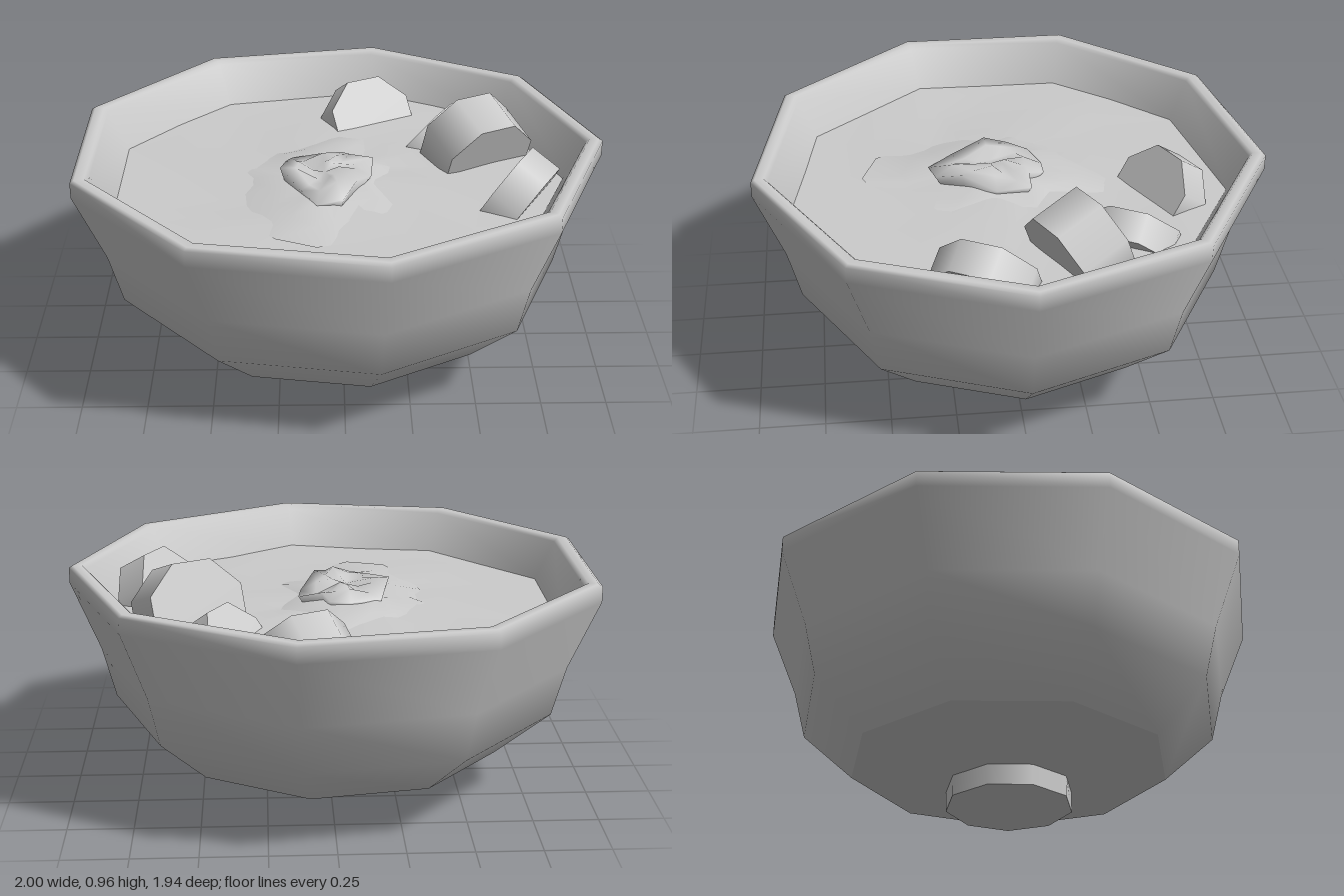
import * as THREE from 'three';

const material = new THREE.MeshStandardMaterial({ color: 0xcccccc });
const thin = new THREE.MeshStandardMaterial({ color: 0xcccccc, side: THREE.DoubleSide });
const SIDES = 9;

// small seeded noise in -1..1
function makeNoise(seed) {
  let s = seed;
  return () => {
    s = (s * 16807) % 2147483647;
    return (s / 2147483647) * 2 - 1;
  };
}

function add(group, name, geometry, mat = material) {
  const mesh = new THREE.Mesh(geometry, mat);
  mesh.name = name;
  group.add(mesh);
  return mesh;
}

// nine-sided ring stretched so that its bounding box is centred
function nineSided(profile) {
  const geo = new THREE.LatheGeometry(
    profile.map(([r, y]) => new THREE.Vector2(r, y)), SIDES, Math.PI / 2);
  const p = geo.attributes.position;
  for (let i = 0; i < p.count; i++) {
    const r = Math.hypot(p.getX(i), p.getZ(i));
    p.setX(i, p.getX(i) * 1.031 - r * 0.031);
    p.setZ(i, p.getZ(i) * 0.985);
  }
  return geo;
}

// uneven surface: an outline shrunk in steps towards its centre
// rings: [scale, height, roughness], from outline to centre
function sheet(outline, [cx, cz], rings, seed) {
  const noise = makeNoise(seed);
  const n = outline.length;
  const pos = [];
  const index = [];
  for (const [scale, y, rough] of rings) {
    for (const [x, z] of outline) {
      pos.push(cx + (x - cx) * scale, y + noise() * rough, cz + (z - cz) * scale);
    }
  }
  pos.push(cx, rings[rings.length - 1][1], cz);
  const centre = rings.length * n;
  for (let k = 0; k < rings.length; k++) {
    for (let i = 0; i < n; i++) {
      const j = (i + 1) % n;
      const a = k * n + i, b = k * n + j;
      if (k === rings.length - 1) index.push(centre, b, a);
      else index.push(a, a + n, b, b, a + n, b + n);
    }
  }
  const geo = new THREE.BufferGeometry();
  geo.setAttribute('position', new THREE.Float32BufferAttribute(pos, 3));
  geo.setIndex(index);
  geo.computeVertexNormals();
  return geo;
}

// thick eight-sided slice; "at" is the middle of its upper face
function addSlice(group, at, normal, radius, thickness) {
  const geo = new THREE.CylinderGeometry(radius, radius, thickness, 8);
  geo.rotateY(Math.PI / 8);
  geo.translate(0, -thickness / 2, 0);
  const n = new THREE.Vector3(...normal).normalize();
  const side = new THREE.Vector3(0, 1, 0).cross(n).normalize();
  const depth = new THREE.Vector3().crossVectors(side, n);
  geo.applyMatrix4(new THREE.Matrix4().makeBasis(side, n, depth).setPosition(...at));
  add(group, 'slice', geo);
}

export function createModel() {
  const model = new THREE.Group();
  model.name = 'soupBowl';

  // bowl: outer wall, rounded rim, inner wall
  add(model, 'bowlBase', nineSided([[0.25, 0.08], [0.635, 0.16]]));
  add(model, 'bowl', nineSided([
    [0.635, 0.16], [0.84, 0.345], [0.89, 0.54], [1, 0.81], [1, 0.87], [0.985, 0.88],
    [0.95, 0.88], [0.935, 0.865], [0.86, 0.72], [0.8, 0.55],
  ]));

  // foot with a closed underside
  add(model, 'footRing', nineSided([[0.25, 0], [0.25, 0.09]]));
  add(model, 'footBottom', nineSided([[0, 0], [0.25, 0]]));

  // soup filling the bowl, slightly uneven
  const edge = [];
  for (let i = 0; i < SIDES * 2; i++) {
    const corner = (k) => {
      const a = (k * Math.PI * 2) / SIDES;
      return [Math.cos(a) * 1.031 - 0.031, Math.sin(a) * 0.985];
    };
    const a = corner(Math.floor(i / 2)), b = corner(Math.ceil(i / 2));
    edge.push([(a[0] + b[0]) * 0.43, (a[1] + b[1]) * 0.43]);
  }
  add(model, 'soup', sheet(edge, [-0.05, 0.05],
    [[1, 0.715, 0.006], [0.75, 0.715, 0.006], [0.5, 0.715, 0.008], [0.25, 0.725, 0.008]], 11), thin);

  // flat leaf spread under the garnish
  const leaf = [
    [-0.31, -0.3], [-0.18, -0.32], [0, -0.42], [0.09, -0.36], [0.13, -0.2], [0.24, -0.12],
    [0.19, 0.08], [0.21, 0.25], [0.03, 0.37], [-0.02, 0.52], [-0.1, 0.56], [-0.25, 0.5],
    [-0.35, 0.36], [-0.37, 0.15], [-0.4, 0], [-0.47, -0.12], [-0.38, -0.2],
  ];
  add(model, 'leaf', sheet(leaf, [-0.08, 0.05],
    [[1, 0.712, 0.012], [0.7, 0.735, 0.01], [0.4, 0.75, 0.01]], 23), thin);

  // crumpled garnish in the middle
  const garnish = [
    [-0.2, -0.1], [-0.08, -0.14], [0, -0.14], [0.03, -0.08], [0.12, -0.08], [0.11, 0.05],
    [0.05, 0.18], [0, 0.28], [-0.1, 0.3], [-0.16, 0.21], [-0.24, 0.07], [-0.22, -0.02],
  ];
  add(model, 'garnish', sheet(garnish, [-0.07, 0.06],
    [[0.9, 0.73, 0.01], [1, 0.775, 0.025], [0.65, 0.785, 0.03], [0.3, 0.775, 0.025]], 5), thin);

  // four slices leaning along the rim
  const slices = new THREE.Group();
  slices.name = 'slices';
  addSlice(slices, [0.14, 0.73, -0.52], [0.37, 0.57, 0.73], 0.19, 0.13);
  addSlice(slices, [0.33, 0.69, -0.45], [-0.7, 0.6, -0.39], 0.19, 0.12);
  addSlice(slices, [0.49, 0.785, -0.29], [-0.43, 0.35, -0.83], 0.2, 0.2);
  addSlice(slices, [0.6, 0.73, 0.12], [-0.76, 0.5, -0.4], 0.2, 0.13);
  model.add(slices);

  return model;
}
